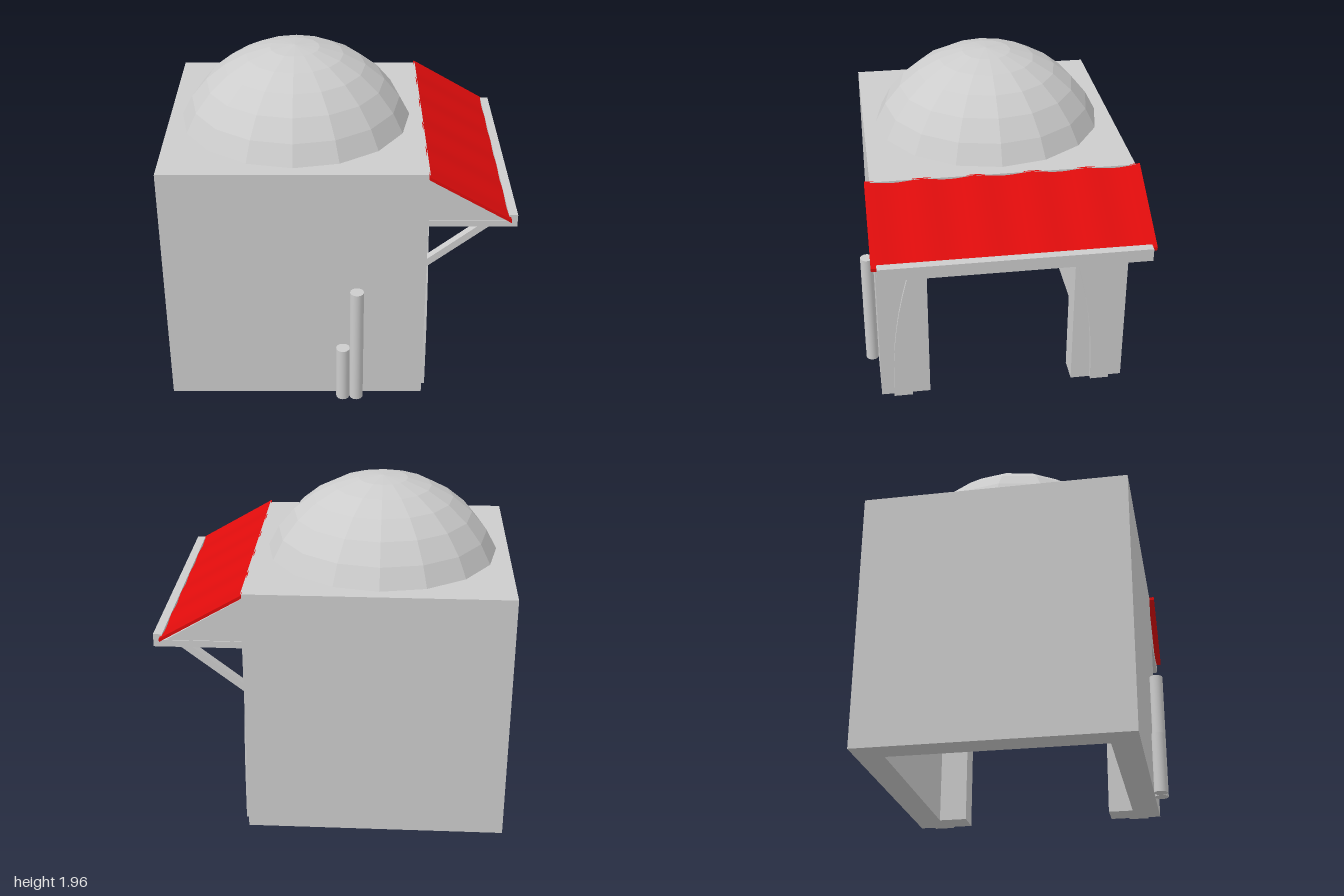
import * as THREE from 'three';

export function createModel() {
  const model = new THREE.Group();
  const plaster = new THREE.MeshStandardMaterial({ color: 0xcccccc, side: THREE.DoubleSide });
  plaster.name = 'greyPlaster';
  const red = new THREE.MeshStandardMaterial({ color: 0xde0c0c });
  red.name = 'redCanopy';

  const X0 = -1, X1 = 0.505, Z0 = -0.78, Z1 = 0.73, TOP = 1.51, T = 0.155;
  const DOME_X = -0.25, MID_Z = -0.025;

  const add = (name, geometry, material = plaster) => {
    const mesh = new THREE.Mesh(geometry, material);
    mesh.name = name;
    model.add(mesh);
    return mesh;
  };
  const polygon = (pts) => new THREE.Shape(pts.map(([a, b]) => new THREE.Vector2(a, b)));
  const extrude = (shape, depth) => new THREE.ExtrudeGeometry(shape, { depth, bevelEnabled: false });
  // plan outline (x, -z) raised from y0
  const raise = (shape, y0, height) => extrude(shape, height).rotateX(-Math.PI / 2).translate(0, y0, 0);
  // outline (z, y) pushed back from x = xMax
  const sideways = (shape, xMax, depth) => extrude(shape, depth).rotateY(-Math.PI / 2).translate(xMax, 0, 0);
  // outline (x, y) spanning z0..z1
  const across = (shape, z0, z1) => extrude(shape, z1 - z0).translate(0, 0, z0);
  const box = (x0, x1, y0, y1, z0, z1) =>
    new THREE.BoxGeometry(x1 - x0, y1 - y0, z1 - z0).translate((x0 + x1) / 2, (y0 + y1) / 2, (z0 + z1) / 2);

  // three closed walls, open underneath
  add('walls', raise(polygon([
    [X0, -Z1], [X1 - T, -Z1], [X1 - T, -Z1 + T], [X0 + T, -Z1 + T],
    [X0 + T, -Z0 - T], [X1 - T, -Z0 - T], [X1 - T, -Z0], [X0, -Z0],
  ]), 0, TOP));

  // wall with the wide doorway
  add('doorWall', sideways(polygon([
    [Z0, 0], [-0.46, 0], [-0.46, 1.13], [0.43, 1.13], [0.43, 0], [Z1, 0], [Z1, TOP], [Z0, TOP],
  ]), X1, T));

  // roof slab, open beneath the dome
  const roof = polygon([
    [X0 + T, -Z1 + T], [X1 - T, -Z1 + T], [X1 - T, -Z0 - T], [X0 + T, -Z0 - T],
  ]);
  const roofHole = new THREE.Path();
  roofHole.absarc(DOME_X, -MID_Z, 0.61, 0, Math.PI * 2, true);
  roof.holes.push(roofHole);
  add('roof', raise(roof, TOP - 0.1, 0.1));

  // faceted dome
  const dome = new THREE.SphereGeometry(0.742, 16, 6, 0, Math.PI * 2, 0, Math.PI * 0.375).toNonIndexed();
  dome.computeVertexNormals();
  add('dome', dome).position.set(DOME_X, 1.213, MID_Z);

  // curved trim on both sides of the doorway
  const curve = new THREE.SplineCurve([
    [0.56, 0], [0.548, 0.32], [0.512, 0.6], [0.45, 0.87], [0.387, 1.05], [0.318, 1.19],
  ].map(([z, y]) => new THREE.Vector2(z, y))).getPoints(12);
  for (const s of [1, -1]) {
    const inner = curve.map((p) => [-0.02 + s * p.x, p.y]);
    const outer = curve.map((p) => [-0.02 + s * (p.x + 0.115), p.y]).reverse();
    add(s > 0 ? 'leftArchTrim' : 'rightArchTrim', sideways(polygon([...inner, ...outer]), 0.53, 0.045));
  }

  // awning frame: deck, front beam and closed triangular ends
  add('awningDeck', box(X1, 0.96, 1.18, 1.22, Z0 + 0.005, Z1));
  add('awningBeam', box(0.95, 1, 1.18, 1.255, Z0 + 0.005, Z1));
  add('awningBody', across(polygon([[X1 - 0.01, 1.21], [0.95, 1.21], [X1 - 0.01, 1.48]]), Z0 + 0.01, Z1 - 0.005));

  // diagonal brackets
  const brace = polygon([[X1, 0.9], [0.865, 1.185], [0.8, 1.185], [X1, 0.95]]);
  add('leftBracket', across(brace, 0.66, 0.71));
  add('rightBracket', across(brace, -0.76, -0.71));

  // rippled sloping canopy
  const length = 1.565, run = 0.465, drop = 0.272;
  const canopy = new THREE.BoxGeometry(run, 0.02, length, 1, 1, 40);
  const pos = canopy.attributes.position;
  for (let i = 0; i < pos.count; i++) {
    const ripple = 0.006 * Math.cos((pos.getZ(i) / length + 0.5) * Math.PI * 10);
    pos.setY(i, pos.getY(i) + ripple - (pos.getX(i) / run) * drop);
  }
  canopy.computeVertexNormals();
  add('canopy', canopy, red).position.set(0.73, 1.362, -0.0225);

  // pipes beside the wall
  for (const [name, x, h] of [['tallPipe', 0.11, 0.76], ['shortPipe', 0.03, 0.36]]) {
    add(name, new THREE.CylinderGeometry(0.04, 0.04, h, 20)).position.set(x, h / 2, 0.768);
  }

  return model;
}
